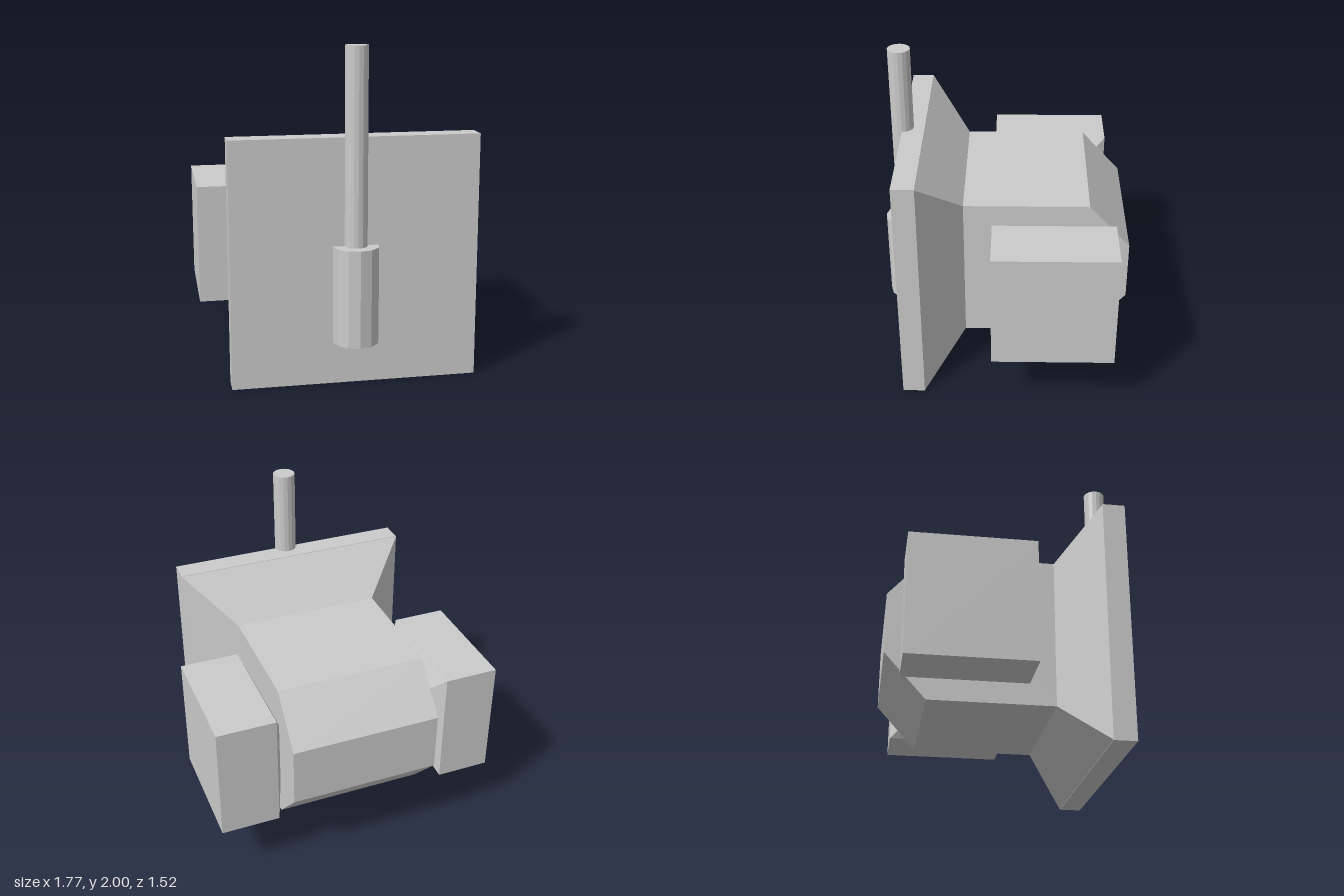
import * as THREE from 'three';

const material = new THREE.MeshStandardMaterial({ color: 0xcccccc, flatShading: true });

function add(parent, name, geometry, x = 0, y = 0, z = 0) {
  const mesh = new THREE.Mesh(geometry, material);
  mesh.name = name;
  mesh.position.set(x, y, z);
  parent.add(mesh);
  return mesh;
}

// Square frustum along z: half size `back` at -z, `front` at +z
function frustum(back, front, depth) {
  const geometry = new THREE.BoxGeometry(2, 2, depth);
  const p = geometry.attributes.position;
  for (let i = 0; i < p.count; i++) {
    const s = p.getZ(i) > 0 ? front : back;
    p.setXY(i, p.getX(i) * s, p.getY(i) * s);
  }
  geometry.computeVertexNormals();
  return geometry;
}

export function createModel() {
  const model = new THREE.Group();
  model.name = 'model';
  const midY = 0.74;

  // Front plate and the flare behind it
  add(model, 'frontPlate', new THREE.BoxGeometry(1.475, 1.48, 0.135), 0, midY, 0.555);
  add(model, 'flare', frustum(0.46, 0.738, 0.25), 0, midY, 0.362);

  // Body: side profile with a chamfered back, extruded across the width
  const profile = new THREE.Shape([
    [-0.237, 0.28], [0.513, 0.28], [0.76, 0.555],
    [0.76, 0.925], [0.513, 1.2], [-0.237, 1.2],
  ].map(([x, y]) => new THREE.Vector2(x, y)));
  const body = new THREE.ExtrudeGeometry(profile, { depth: 0.92, bevelEnabled: false });
  body.translate(0, 0, -0.46).rotateY(Math.PI / 2); // profile x becomes -z
  add(model, 'body', body);

  // Side blocks on tapered necks; the two necks differ slightly in length
  for (const { name, side, inner, neckHalf } of [
    { name: 'left', side: 1, inner: 0.525, neckHalf: 0.213 },
    { name: 'right', side: -1, inner: 0.555, neckHalf: 0.175 },
  ]) {
    const outer = 0.885;
    add(model, name + 'Block', new THREE.BoxGeometry(outer - inner, 0.735, 0.735),
      side * (inner + outer) / 2, midY, -0.302);
    const neck = frustum(neckHalf, 0.3675, inner - 0.46);
    neck.rotateY(side * Math.PI / 2);
    add(model, name + 'Neck', neck, side * (inner + 0.46) / 2, midY, -0.302);
  }

  // Upright rod held in a sleeve on the front plate
  add(model, 'sleeve', new THREE.CylinderGeometry(0.138, 0.138, 0.585, 12), 0, 0.548, 0.622);
  add(model, 'rod', new THREE.CylinderGeometry(0.068, 0.068, 1.2, 16), 0, 1.4, 0.622);

  return model;
}
